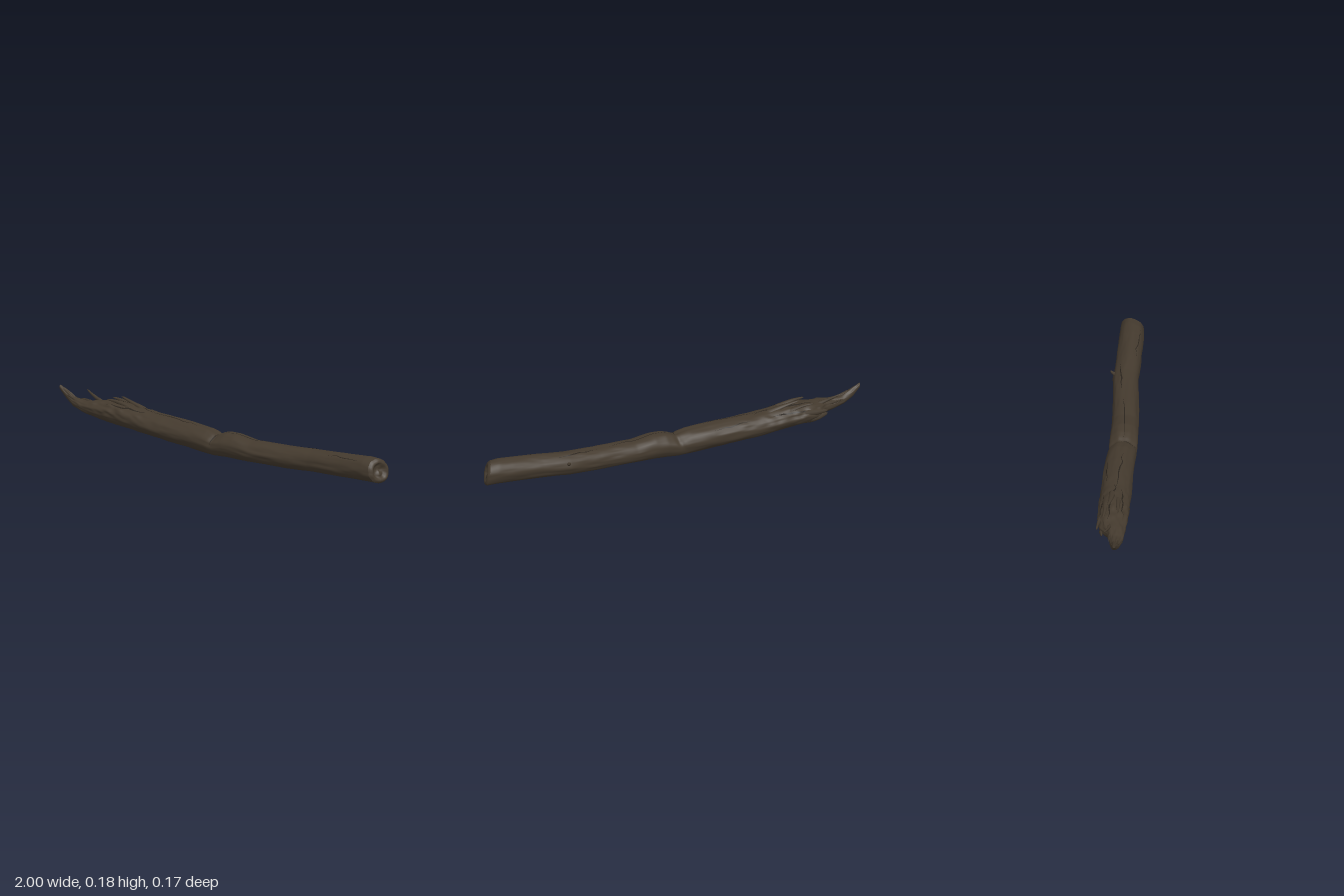
import * as THREE from 'three';

const TAU = Math.PI * 2;

// Smooth value noise in 3D, range -1..1
function hash(x, y, z) {
  const s = Math.sin(x * 127.1 + y * 311.7 + z * 74.7) * 43758.5453;
  return (s - Math.floor(s)) * 2 - 1;
}
function noise(x, y, z) {
  const f = [x, y, z].map(Math.floor);
  const t = [x - f[0], y - f[1], z - f[2]].map((v) => v * v * (3 - 2 * v));
  let sum = 0;
  for (let i = 0; i < 8; i++) {
    const b = [i & 1, (i >> 1) & 1, i >> 2];
    const w = b.reduce((p, bit, k) => p * (bit ? t[k] : 1 - t[k]), 1);
    sum += w * hash(f[0] + b[0], f[1] + b[1], f[2] + b[2]);
  }
  return sum;
}

// Log outline stations: x, bottom, top, back, front
const STATIONS = [
  [-1.0, 0.168, 0.19, 0.0, 0.016],
  [-0.96, 0.128, 0.17, -0.01, 0.02],
  [-0.91, 0.097, 0.145, -0.014, 0.03],
  [-0.85, 0.083, 0.138, -0.024, 0.046],
  [-0.8, 0.073, 0.145, -0.035, 0.05],
  [-0.76, 0.066, 0.15, -0.07, 0.056],
  [-0.7, 0.058, 0.158, -0.083, 0.062],
  [-0.6, 0.049, 0.163, -0.084, 0.066],
  [-0.5, 0.04, 0.152, -0.082, 0.067],
  [-0.4, 0.031, 0.146, -0.08, 0.068],
  [-0.2, 0.019, 0.141, -0.072, 0.07],
  [-0.08, 0.01, 0.132, -0.062, 0.076],
  [-0.02, 0.009, 0.118, -0.057, 0.08],
  [0.04, 0.013, 0.136, -0.055, 0.081],
  [0.1, 0.015, 0.139, -0.053, 0.081],
  [0.2, 0.017, 0.124, -0.05, 0.08],
  [0.4, 0.02, 0.13, -0.053, 0.071],
  [0.56, 0.027, 0.138, -0.058, 0.065],
  [0.7, 0.036, 0.149, -0.046, 0.072],
  [0.85, 0.042, 0.163, -0.04, 0.076],
  [0.92, 0.045, 0.167, -0.037, 0.077],
  [0.968, 0.045, 0.163, -0.034, 0.075],
];

function outline(x) {
  let i = 0;
  while (i < STATIONS.length - 2 && x > STATIONS[i + 1][0]) i++;
  const a = STATIONS[i], b = STATIONS[i + 1];
  const t = THREE.MathUtils.clamp((x - a[0]) / (b[0] - a[0]), 0, 1);
  return [1, 2, 3, 4].map((k) => THREE.MathUtils.lerp(a[k], b[k], t));
}

// Point on the bark; scale shrinks the section, angle 0 = front, PI/2 = top
function barkPoint(x, a, scale = 1, lift = 0) {
  const [y0, y1, z0, z1] = outline(x);
  const c = Math.cos(a), s = Math.sin(a);
  const up = THREE.MathUtils.smoothstep(s, -0.1, 0.6);
  const torn = 1 - THREE.MathUtils.smoothstep(x, -0.8, -0.25);
  // long grain ridges, rougher on the torn upper left
  let r = 1 + 0.045 * noise(x * 7, c * 3, s * 3) + 0.025 * noise(x * 16, c * 8 + 5, s * 8);
  r += torn * (0.04 + up * 0.1) * noise(x * 28, c * 5, s * 5 + 9);
  // diagonal crease across the middle
  const d = (x + 0.035 - 0.02 * s) / 0.014;
  r -= 0.07 * Math.exp(-d * d) * THREE.MathUtils.smoothstep(s, -0.5, 0.4);
  r = r * scale + lift;
  const y = (y0 + y1) / 2 + (y1 - y0) / 2 * r * s;
  const z = (z0 + z1) / 2 + (z1 - z0) / 2 * r * c;
  // slant the sawn end
  const w = THREE.MathUtils.smoothstep(x, 0.8, 0.968);
  return new THREE.Vector3(x - w * (0.2 * (y - 0.105) + 0.34 * (z - 0.02)), Math.max(y, 0.002), z);
}

// Closed-round grid of points: nu rings of nv sides
function rings(name, material, nu, nv, point) {
  const pos = [], idx = [];
  for (let i = 0; i <= nu; i++) {
    for (let j = 0; j < nv; j++) {
      pos.push(...point(i / nu, (j / nv) * TAU).toArray());
      if (i === nu) continue;
      const a = i * nv + j, b = i * nv + ((j + 1) % nv);
      idx.push(a, a + nv, b, b, a + nv, b + nv);
    }
  }
  const g = new THREE.BufferGeometry();
  g.setAttribute('position', new THREE.Float32BufferAttribute(pos, 3));
  g.setIndex(idx);
  g.computeVertexNormals();
  const mesh = new THREE.Mesh(g, material);
  mesh.name = name;
  return mesh;
}

// Flattened tapering sliver of wood along a curve
function splinter(name, material, points, height, depth) {
  const curve = new THREE.CatmullRomCurve3(points.map((p) => new THREE.Vector3(...p)));
  return rings(name, material, 10, 7, (u, a) => {
    const p = curve.getPoint(u), t = curve.getTangent(u);
    const side = new THREE.Vector3(0, 0, 1).addScaledVector(t, -t.z).normalize();
    const up = new THREE.Vector3().crossVectors(side, t);
    const k = u === 1 ? 0 : (1 - 0.75 * u) * (1 + 0.2 * noise(u * 6, a, height * 900));
    return p.addScaledVector(side, Math.cos(a) * depth * k).addScaledVector(up, Math.sin(a) * height * k);
  });
}

// Thin dark crack lying on the bark
function crack(material, x0, x1, a0, a1, width) {
  const pos = [], idx = [], n = 24;
  for (let i = 0; i <= n; i++) {
    const u = i / n, x = x0 + (x1 - x0) * u;
    const a = a0 + (a1 - a0) * u + 0.12 * noise(u * 7, x0 * 9, a0);
    const w = width * Math.sin(Math.PI * u);
    const dx = Math.abs(x1 - x0) < 0.05 ? w * 0.04 : 0;
    const da = dx ? 0 : w;
    pos.push(...barkPoint(x - dx, a - da, 1, 0.02).toArray(), ...barkPoint(x + dx, a + da, 1, 0.02).toArray());
    if (i < n) idx.push(2 * i, 2 * i + 2, 2 * i + 1, 2 * i + 1, 2 * i + 2, 2 * i + 3);
  }
  const g = new THREE.BufferGeometry();
  g.setAttribute('position', new THREE.Float32BufferAttribute(pos, 3));
  g.setIndex(idx);
  g.computeVertexNormals();
  const mesh = new THREE.Mesh(g, material);
  mesh.name = 'crack';
  return mesh;
}

export function createModel() {
  const group = new THREE.Group();
  group.name = 'driftwoodLog';
  const bark = new THREE.MeshStandardMaterial({ color: 0x443a2e });
  bark.name = 'weathered bark';
  const dark = new THREE.MeshStandardMaterial({ color: 0x2a241d, side: THREE.DoubleSide });
  dark.name = 'dark crack';

  // Main trunk
  group.add(rings('trunk', bark, 260, 48, (u, a) => barkPoint(-1 + 1.968 * u, a)));

  // Slanted, pitted right end and the small torn left tip
  group.add(rings('brokenEnd', bark, 8, 48, (u, a) => {
    const p = barkPoint(0.968, a, 1 - u);
    p.x += 0.012 * Math.sin(Math.PI * Math.min(u * 2, 1)) + 0.012 * u * noise(1, p.y * 45, p.z * 45);
    if (u === 1) p.x = barkPoint(0.968, 0, 0).x;
    return p;
  }));
  group.add(rings('tipEnd', bark, 1, 48, (u, a) => barkPoint(-1, a, u)));

  // Splinters: path, half height, half depth
  const slivers = [
    [[[-0.76, 0.135, -0.02], [-0.82, 0.155, -0.03], [-0.88, 0.178, -0.045]], 0.012, 0.01],
    [[[-0.66, 0.12, -0.06], [-0.73, 0.125, -0.078], [-0.79, 0.128, -0.086]], 0.022, 0.012],
    [[[-0.68, 0.09, -0.055], [-0.75, 0.092, -0.065], [-0.8, 0.1, -0.06]], 0.024, 0.014],
    [[[-0.5, 0.145, -0.02], [-0.58, 0.165, -0.025], [-0.66, 0.183, -0.035]], 0.014, 0.018],
    [[[-0.56, 0.15, 0.01], [-0.64, 0.166, 0.012], [-0.71, 0.17, 0.015]], 0.014, 0.014],
    [[[-0.6, 0.145, -0.05], [-0.67, 0.158, -0.05], [-0.73, 0.162, -0.055]], 0.012, 0.014],
    [[[-0.82, 0.115, 0.02], [-0.88, 0.13, 0.02], [-0.95, 0.155, 0.025]], 0.014, 0.009],
    [[[-0.78, 0.12, 0.0], [-0.83, 0.128, -0.02], [-0.9, 0.135, -0.022]], 0.014, 0.008],
  ];
  slivers.forEach(([path, h, d]) => group.add(splinter('splinter', bark, path, h, d)));

  // Little snapped twig on the back
  group.add(splinter('twigStub', bark, [[0.57, 0.1, -0.045], [0.575, 0.106, -0.06], [0.585, 0.112, -0.072]], 0.012, 0.012));

  // Cracks: x range, angle range, width
  const cracks = [
    [0.0, 0.34, 1.5, 1.75, 0.04], [0.4, 0.62, 1.9, 2.1, 0.05], [0.66, 0.9, 1.0, 0.8, 0.035],
    [-0.46, -0.14, 1.5, 1.3, 0.04], [-0.74, -0.42, 1.9, 1.6, 0.07], [-0.7, -0.46, 0.9, 1.1, 0.06],
    [-0.72, -0.5, 2.6, 2.3, 0.06], [-0.4, -0.2, 2.2, 2.4, 0.04], [-0.03, -0.015, 0.2, 1.7, 0.08],
  ];
  cracks.forEach((c) => group.add(crack(dark, ...c)));
  return group;
}
